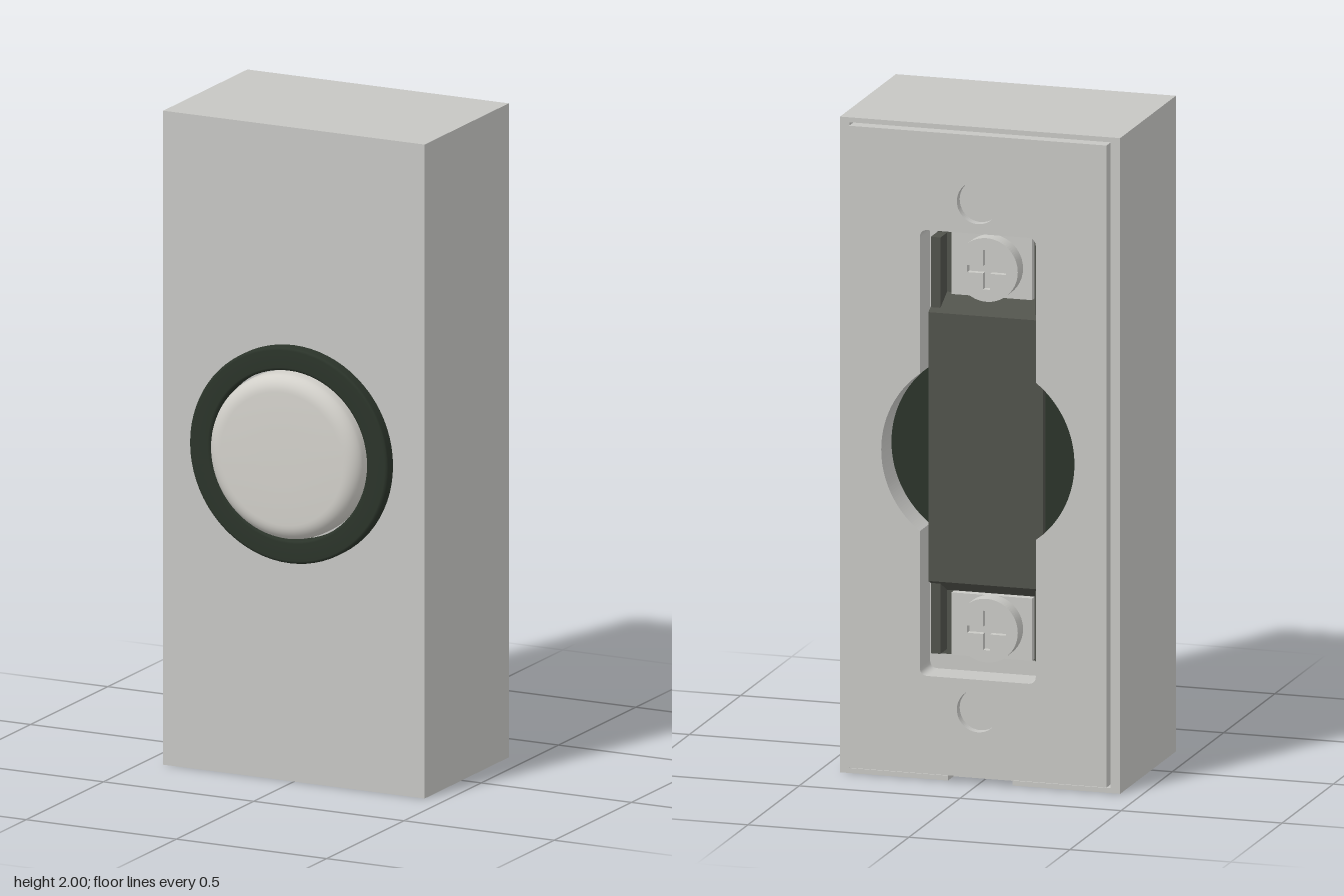
import * as THREE from 'three';

const mat = (name, color, side = THREE.FrontSide) => {
  const m = new THREE.MeshStandardMaterial({ color, side });
  m.name = name;
  return m;
};

// Closed polygon from [x, y] pairs
const poly = (pts, Type = THREE.Shape) => new Type(pts.map(([x, y]) => new THREE.Vector2(x, y)));
const rect = (x, y0, y1, Type) => poly([[-x, y0], [x, y0], [x, y1], [-x, y1]], Type);

// Shape in XY extruded between two z positions
function slab(shape, z0, z1) {
  const g = new THREE.ExtrudeGeometry(shape, { depth: z1 - z0, bevelEnabled: false, curveSegments: 40 });
  return g.translate(0, 0, z0);
}

// Profile of [radius, z] turned around the z axis at the button centre
function turned(profile) {
  const g = new THREE.LatheGeometry(profile.map(([r, z]) => new THREE.Vector2(r, z)), 72);
  return g.rotateX(Math.PI / 2).translate(0, 1.005, 0);
}

export function createModel() {
  const group = new THREE.Group();
  const casing = mat('light grey casing', 0xc6c6c3);
  const buttonWhite = mat('warm white button', 0xd2d0ca, THREE.DoubleSide);
  const darkGreen = mat('dark green black', 0x2b342a, THREE.DoubleSide);
  const charcoal = mat('charcoal housing', 0x50524b);
  const metal = mat('pale metal', 0xc9c9c5);

  const add = (name, geometry, material, parent = group) => {
    const m = new THREE.Mesh(geometry, material);
    m.name = name;
    parent.add(m);
    return m;
  };
  const box = (name, w, h, d, x, y, z, material, parent) =>
    add(name, new THREE.BoxGeometry(w, h, d).translate(x, y, z), material, parent);

  // Hollow casing, open at the back, with a notch in the bottom rear edge
  const W = 0.435, cx = 0.405, cy = 0.015;
  const rim = rect(W, 0, 2);
  rim.holes.push(rect(cx, cy, 2 - cy, THREE.Path));
  const notched = poly([
    [-W, 0], [-0.1, 0], [-0.1, cy], [-cx, cy], [-cx, 2 - cy], [cx, 2 - cy],
    [cx, cy], [0.1, cy], [0.1, 0], [W, 0], [W, 2], [-W, 2],
  ]);
  add('casingRearRim', slab(notched, -0.305, -0.25), casing);
  add('casingWalls', slab(rim, -0.25, 0.2), casing);
  add('casingFront', slab(rect(W, 0, 2), 0.2, 0.24), casing);

  // Back plate with keyhole-like slot and two screw recesses
  const plate = rect(0.4, 0.022, 1.98);
  const s = 0.18, r = 0.3, c = 0.025, lo = 0.32, hi = 1.68;
  const a = Math.acos(s / r);
  const slot = new THREE.Path();
  slot.moveTo(s - c, lo);
  slot.quadraticCurveTo(s, lo, s, lo + c);
  slot.absarc(0, 1, r, -a, a, false);
  slot.lineTo(s, hi - c);
  slot.quadraticCurveTo(s, hi, s - c, hi);
  slot.lineTo(-s + c, hi);
  slot.quadraticCurveTo(-s, hi, -s, hi - c);
  slot.absarc(0, 1, r, Math.PI - a, Math.PI + a, false);
  slot.lineTo(-s, lo + c);
  slot.quadraticCurveTo(-s, lo, -s + c, lo);
  slot.closePath();
  plate.holes.push(slot);
  for (const y of [0.225, 1.775]) {
    const hole = new THREE.Path();
    hole.absarc(0, y, 0.065, 0, Math.PI * 2, true);
    plate.holes.push(hole);
    const floor = new THREE.CylinderGeometry(0.065, 0.065, 0.05, 40).rotateX(Math.PI / 2);
    add('mountingHoleFloor', floor.translate(0, y, -0.275), casing);
  }
  add('backPlate', slab(plate, -0.327, -0.227), casing);

  // Front ring, button and the round barrel behind them
  add('buttonRing', turned([
    [0.33, 0.235], [0.33, 0.27], [0.327, 0.275], [0.321, 0.278],
    [0.268, 0.278], [0.262, 0.275], [0.259, 0.27], [0.259, 0.235],
  ]), darkGreen);
  const buttonProfile = [[0.253, 0.235], [0.253, 0.27]];
  for (let i = 1; i <= 8; i++) {
    const t = (i / 8) * Math.PI / 2;
    buttonProfile.push([0.203 + 0.05 * Math.cos(t), 0.275 + 0.044 * Math.sin(t)]);
  }
  buttonProfile.push([0.14, 0.322], [0.07, 0.323], [0, 0.323]);
  add('pushButton', turned(buttonProfile), buttonWhite);
  add('buttonBarrel', new THREE.CylinderGeometry(0.31, 0.31, 0.425, 72)
    .rotateX(Math.PI / 2).translate(0, 1, -0.0125), darkGreen);

  // Contact housing: floor, side rails and a central bridge with sloping ends
  const housing = new THREE.Group();
  housing.name = 'contactHousing';
  group.add(housing);
  box('housingFloor', 0.355, 1.3, 0.15, 0, 1, -0.09, charcoal, housing);
  for (const side of [-1, 1]) {
    for (const y of [0.48, 1.52]) {
      box('housingRail', 0.03, 0.23, 0.07, side * 0.162, y, -0.195, charcoal, housing);
    }
  }
  const bridge = poly([[-0.46, 0], [0.46, 0], [0.41, 0.095], [-0.41, 0.095]]);
  const bridgeGeo = new THREE.ExtrudeGeometry(bridge, { depth: 0.356, bevelEnabled: false });
  bridgeGeo.translate(0, 0, -0.178).rotateZ(Math.PI / 2).rotateY(0);
  // Turn the cross-section so its height runs to the back and its width runs along x
  bridgeGeo.rotateY(-Math.PI / 2).translate(0, 1, -0.155);
  add('bridge', bridgeGeo, charcoal, housing);

  // Terminals with cross-headed screws
  for (const y of [0.45, 1.55]) {
    const terminal = new THREE.Group();
    terminal.name = 'terminal';
    terminal.position.set(0, y, 0);
    group.add(terminal);
    box('terminalPlate', 0.25, 0.19, 0.03, 0, 0, -0.175, metal, terminal);
    const head = new THREE.Shape();
    head.absarc(0, 0, 0.097, 0, Math.PI * 2, false);
    const l = 0.06, w = 0.011;
    head.holes.push(poly([
      [-l, -w], [-w, -w], [-w, -l], [w, -l], [w, -w], [l, -w],
      [l, w], [w, w], [w, l], [-w, l], [-w, w], [-l, w],
    ], THREE.Path));
    add('screwHead', slab(head, -0.242, -0.222), metal, terminal);
    add('screwBase', new THREE.CylinderGeometry(0.097, 0.097, 0.04, 40)
      .rotateX(Math.PI / 2).translate(0, 0, -0.202), metal, terminal);
  }
  return group;
}
